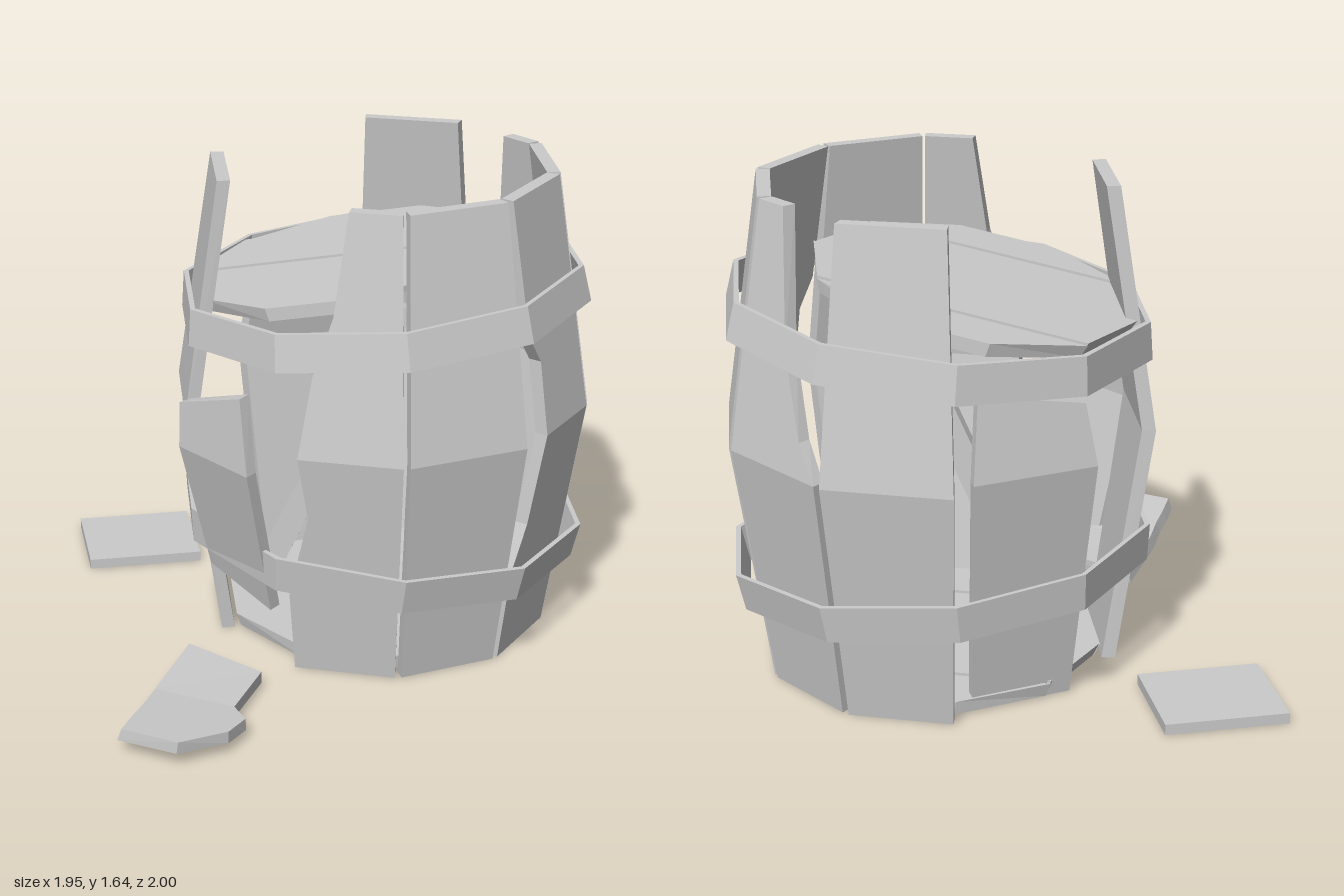
import * as THREE from 'three';

const material = new THREE.MeshStandardMaterial({ color: 0xcccccc, flatShading: true });
const MID = 0.825, TOP = 1.64, TAN = Math.tan(Math.PI / 10);

// Outer distance of a stave from the barrel axis, and half its width, at height y
const bulge = (y) => 0.69 - 0.12 * Math.abs(y - MID) / MID;
const halfWidth = (y) => bulge(y) * TAN - 0.012;

function addMesh(parent, name, geometry) {
  const mesh = new THREE.Mesh(geometry, material);
  mesh.name = name;
  parent.add(mesh);
  return mesh;
}

// Board running along y and facing +z; each row is [left u, left y, right u, right y]
function board(rows, half, out, thick) {
  const loops = rows.map(([ul, yl, ur, yr]) => {
    const l = [ul * half(yl), yl, out(yl)], r = [ur * half(yr), yr, out(yr)];
    return [l, r, [r[0] * 0.96, r[1], r[2] - thick], [l[0] * 0.96, l[1], l[2] - thick]];
  });
  const pos = [];
  const quad = (a, b, c, d) => pos.push(...a, ...b, ...c, ...a, ...c, ...d);
  for (let i = 0; i + 1 < loops.length; i++) {
    const p = loops[i], q = loops[i + 1];
    for (let k = 0; k < 4; k++) quad(p[k], p[(k + 1) % 4], q[(k + 1) % 4], q[k]);
  }
  const end = loops[loops.length - 1], start = loops[0];
  quad(...end);
  quad(start[3], start[2], start[1], start[0]);
  const geometry = new THREE.BufferGeometry();
  geometry.setAttribute('position', new THREE.Float32BufferAttribute(pos, 3));
  geometry.computeVertexNormals();
  return geometry;
}

// Ten-sided lid made of four planks, lying flat with its top at y = 0
function lid(name) {
  const group = new THREE.Group();
  group.name = name;
  const R = 0.545;
  const corners = [-72, -36, 0, 36, 72].map((d) => THREE.MathUtils.degToRad(d));
  for (let i = 0; i < 4; i++) {
    const [a, b] = [corners[i], corners[i + 1]];
    const [y0, y1] = [R * Math.sin(a) + 0.004, R * Math.sin(b) - 0.004];
    const [w0, w1] = [R * Math.cos(a), R * Math.cos(b)];
    const plank = addMesh(group, 'lidPlank', board(
      [[-w0, y0, w0, y0], [-w1, y1, w1, y1]], () => 1, () => 0, 0.045));
    plank.rotation.x = -Math.PI / 2;
    plank.position.y = (i % 2) * -0.006;
  }
  return group;
}

// Ten-sided iron band
function hoop(rBottom, rTop) {
  const h = 0.0625, t = 0.018;
  const profile = [[rBottom, -h], [rTop, h], [rTop - t, h], [rBottom - t, -h], [rBottom, -h]];
  return new THREE.LatheGeometry(profile.map((p) => new THREE.Vector2(...p)), 10, Math.PI / 10);
}

export function createModel() {
  const model = new THREE.Group();
  model.name = 'brokenBarrel';
  const barrel = new THREE.Group();
  barrel.name = 'barrel';
  barrel.position.set(0.243, 0, -0.303);
  model.add(barrel);

  // Staves by direction (degrees from +x towards +z); u = -1..1 across each one
  const whole = [[-1, 0, 1, 0], [-1, MID, 1, MID], [-1, TOP, 1, TOP]];
  const staves = [
    { angle: 54, rows: whole },
    { angle: -18, rows: whole },
    { angle: 162, rows: whole },
    { angle: -90, rows: whole, tilt: 0.005 },
    // split along its front edge
    { angle: 18, rows: [[-1, 0, 1, 0], [-1, 0.34, 1, 0.34], [-0.65, 0.5, 1, 0.5], [-0.46, MID, 1, MID],
      [-0.46, 1.08, 1, 1.08], [-0.8, 1.18, 1, 1.18], [-1, TOP, 1, TOP]] },
    // front stave, chipped down its left side
    { angle: 90, rows: [[-1, 0, 1, 0], [-0.98, 0.3, 1, 0.3], [-0.55, 0.6, 1, 0.6], [-0.66, MID, 1, MID],
      [-0.5, 1.1, 1, 1.1], [-0.2, 1.3, 1, 1.3], [0, TOP, 1, TOP]] },
    // upper corner broken away
    { angle: -54, rows: [[-1, 0, 1, 0], [-1, MID, 1, MID], [-1, 0.94, 0.6, 0.94],
      [-1, 1.2, 0.1, 1.2], [-1, TOP, -0.3, TOP]] },
    // short remnants
    { angle: -126, shift: [0.07, 0, -0.07], rows: [[-1, 0, 1, 0], [-1, MID, 1, MID], [-0.9, 1.1, 0.9, 1.03]] },
    { angle: 126, tilt: 0.09, rows: [[-0.75, 0.36, 0.8, 0.28], [-0.8, MID, 0.85, MID],
      [-0.85, 0.98, 0.65, 1.08]] },
  ];
  for (const { angle, rows, tilt = 0, shift = [0, 0, 0] } of staves) {
    const geometry = board(rows, halfWidth, bulge, 0.045).translate(...shift);
    const stave = addMesh(barrel, 'stave', geometry);
    stave.rotation.order = 'YXZ';
    stave.rotation.set(tilt, THREE.MathUtils.degToRad(90 - angle), 0);
  }

  // Slipped hoops
  const upper = addMesh(barrel, 'upperHoop', hoop(0.717, 0.698));
  upper.position.y = 1.2;
  upper.rotation.z = 0.09;
  const lower = addMesh(barrel, 'lowerHoop', hoop(0.698, 0.717));
  lower.position.y = 0.375;
  lower.rotation.z = -0.09;

  // Bottom, and the lid that has sunk to one side
  const bottom = lid('bottom');
  bottom.position.y = 0.055;
  barrel.add(bottom);
  const topLid = lid('topLid');
  topLid.position.set(-0.123, 1.305, 0);
  topLid.rotation.z = 0.19;
  barrel.add(topLid);

  // Plank leaning inside
  const leaning = addMesh(barrel, 'leaningPlank', new THREE.BoxGeometry(0.09, 1.1, 0.04));
  leaning.position.set(-0.17, 0.6, -0.1);
  leaning.rotation.z = -0.43;

  // Broken pieces on the ground
  const square = addMesh(model, 'loosePlank', new THREE.BoxGeometry(0.41, 0.036, 0.37));
  square.position.set(-0.72, 0.018, -0.565);
  square.rotation.y = 0.4;
  const rows = [[-0.31, 0.29, -0.01, 0.43], [-0.34, 0.62, -0.04, 0.69], [-0.345, 0.75, 0.02, 0.77],
    [-0.355, 0.85, -0.01, 0.88], [-0.36, 0.95, -0.15, 1]];
  const sag = (z) => -0.012 - 0.085 * Math.max(0, z - 0.6) - 0.02 * Math.max(0, 0.6 - z);
  const piece = addMesh(model, 'looseStave', board(rows, () => 1, sag, 0.042));
  piece.rotation.x = Math.PI / 2;
  return model;
}
